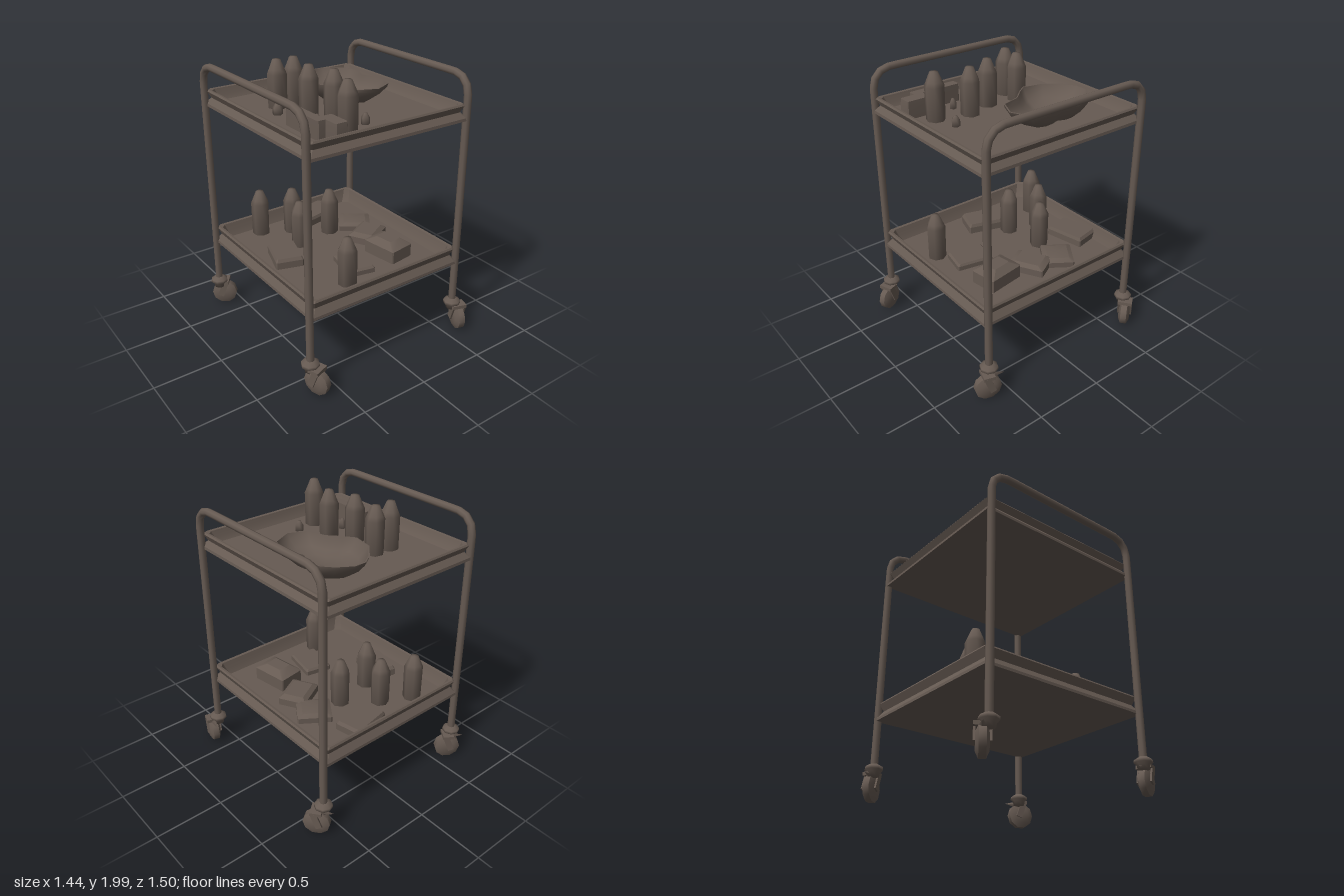
import * as THREE from 'three';
import { toCreasedNormals } from 'three/addons/utils/BufferGeometryUtils.js';

const paint = new THREE.MeshStandardMaterial({ color: 0x665a52 });
paint.name = 'dull brown metal';

function add(parent, name, geometry, x = 0, y = 0, z = 0) {
  const mesh = new THREE.Mesh(geometry, paint);
  mesh.name = name;
  mesh.position.set(x, y, z);
  parent.add(mesh);
  return mesh;
}

// Skin a stack of equal-length rings (counterclockwise from above), capping both ends.
function loft(rings, crease = 0.6) {
  const n = rings[0].length, pos = [], index = [];
  rings.forEach(r => r.forEach(p => pos.push(...p)));
  for (let j = 0; j < rings.length - 1; j++) {
    for (let i = 0; i < n; i++) {
      const a = j * n + i, b = j * n + (i + 1) % n;
      index.push(a, b, b + n, a, b + n, a + n);
    }
  }
  [rings[0], rings[rings.length - 1]].forEach((ring, end) => {
    const c = pos.length / 3, start = end ? (rings.length - 1) * n : 0;
    pos.push(...[0, 1, 2].map(k => ring.reduce((s, p) => s + p[k], 0) / n));
    for (let i = 0; i < n; i++) {
      const a = start + i, b = start + (i + 1) % n;
      if (end) index.push(c, a, b); else index.push(c, b, a);
    }
  });
  const g = new THREE.BufferGeometry();
  g.setAttribute('position', new THREE.Float32BufferAttribute(pos, 3));
  g.setIndex(index);
  return toCreasedNormals(g, crease);
}

// Rectangle ring with chamfered corners.
function rect(hx, hz, c, y) {
  return [
    [hx, y, hz - c], [hx, y, c - hz], [hx - c, y, -hz], [c - hx, y, -hz],
    [-hx, y, c - hz], [-hx, y, hz - c], [c - hx, y, hz], [hx - c, y, hz],
  ];
}

// Tray: wide foot, pinched wall, rolled rim, sunken floor.
function tray(h) {
  const profile = [
    [0, 0, 0.012], [0.02, 0.002, 0.012], [h * 0.5, 0.034, 0.015], [h * 0.9, 0.01, 0.02], [h, 0.018, 0.025],
    [h * 0.97, 0.036, 0.03], [h * 0.55, 0.052, 0.035], [0.035, 0.07, 0.04],
  ];
  return loft(profile.map(([y, inset, c]) => rect(0.625 - inset, 0.66 - inset, c, y)), 0.5);
}

// Flat pack with a slightly narrower top.
function pack(w, h, d, taper = 0.85) {
  return loft([rect(w / 2, d / 2, 0.008, 0), rect(w / 2, d / 2, 0.008, h * 0.7),
    rect(w / 2 * taper, d / 2 * taper, 0.008, h)], 0.4);
}

function lathe(points, sides) {
  return new THREE.LatheGeometry(points.map(p => new THREE.Vector2(...p)), sides);
}

// Hoop: two posts joined by a rail with rounded corners.
function hoop() {
  const v = (y, z) => new THREE.Vector3(0, y, z);
  const front = 0.62, back = -0.657, top = 1.935, r = 0.15, low = 0.2;
  const path = new THREE.CurvePath();
  path.add(new THREE.LineCurve3(v(low, front), v(top - r, front)));
  path.add(new THREE.QuadraticBezierCurve3(v(top - r, front), v(top, front), v(top, front - r)));
  path.add(new THREE.LineCurve3(v(top, front - r), v(top, back + r)));
  path.add(new THREE.QuadraticBezierCurve3(v(top, back + r), v(top, back), v(top - r, back)));
  path.add(new THREE.LineCurve3(v(top - r, back), v(low, back)));
  return new THREE.TubeGeometry(path, 72, 0.027, 8);
}

// Swivel caster whose wheel rolls along its local z.
function caster(x, z, yaw, dx, dz) {
  const g = new THREE.Group();
  g.name = 'caster';
  g.position.set(x, 0, z);
  add(g, 'collar', lathe([[0, 0.16], [0.04, 0.17], [0.045, 0.2], [0.064, 0.215], [0.062, 0.235], [0.03, 0.255], [0, 0.255]], 8));
  const swivel = new THREE.Group();
  swivel.name = 'swivel';
  swivel.position.set(dx, 0, dz);
  swivel.rotation.y = yaw;
  g.add(swivel);
  const tyre = lathe([[0, -0.04], [0.055, -0.04], [0.094, -0.022], [0.094, 0.022], [0.055, 0.04], [0, 0.04]], 10);
  add(swivel, 'wheel', toCreasedNormals(tyre, 0.7), 0, 0.1, 0).rotation.z = Math.PI / 2;
  for (const s of [-1, 1]) {
    add(swivel, 'forkArm', new THREE.BoxGeometry(0.014, 0.12, 0.045), s * 0.046, 0.14, -0.005).rotation.x = 0.35;
  }
  add(swivel, 'forkBridge', new THREE.BoxGeometry(0.105, 0.025, 0.08), 0, 0.197, 0);
  add(swivel, 'brakeLever', new THREE.ConeGeometry(0.025, 0.09, 4), 0, 0.185, -0.075).rotation.x = -Math.PI / 2;
  return g;
}

// Kidney-shaped bowl lofted out and back in.
function kidneyBowl() {
  const outline = [
    [-0.07, -0.2], [-0.04, -0.35], [0.06, -0.46], [0.14, -0.515], [0.23, -0.515], [0.33, -0.45],
    [0.39, -0.38], [0.397, -0.29], [0.36, -0.19], [0.39, -0.1], [0.4, 0], [0.37, 0.09],
    [0.23, 0.157], [0.1, 0.1], [0.06, -0.04], [-0.02, -0.13],
  ].reverse();
  const cx = 0.19, cz = -0.2;
  const ring = (s, y) => outline.map(([x, z]) => [cx + (x - cx) * s, y, cz + (z - cz) * s]);
  return loft([ring(0.6, 1.67), ring(0.82, 1.72), ring(0.97, 1.775), ring(1, 1.8), ring(0.965, 1.8),
    ring(0.9, 1.765), ring(0.76, 1.72), ring(0.5, 1.69)], 0.9);
}

export function createModel() {
  const cart = new THREE.Group();
  cart.name = 'trolley';

  // Frame and trays
  add(cart, 'leftHoop', hoop(), 0.6);
  add(cart, 'rightHoop', hoop(), -0.66);
  add(cart, 'upperTray', tray(0.115), -0.03, 1.637, -0.02);
  add(cart, 'lowerTray', tray(0.133), -0.03, 0.557, -0.02);

  // Casters, each swivelled differently
  cart.add(caster(0.6, 0.62, -0.3, 0.03, 0.035));
  cart.add(caster(-0.66, 0.62, 0.35, 0.025, 0.045));
  cart.add(caster(0.6, -0.657, 0.65, 0.045, 0.015));
  cart.add(caster(-0.66, -0.657, 0.95, 0.045, -0.01));

  // Bottles
  const bottle = lathe([[0, 0], [0.066, 0], [0.068, 0.25], [0.055, 0.28], [0.028, 0.345], [0, 0.347]], 7);
  const upper = 1.655, lower = 0.6;
  [[-0.32, upper, -0.245], [-0.19, upper, -0.24], [-0.22, upper, -0.01], [-0.155, upper, 0.18], [-0.22, upper, 0.415],
    [-0.24, lower, 0.45], [-0.34, lower, -0.525], [-0.125, lower, -0.415], [-0.2, lower, -0.19], [0.095, lower, -0.24],
  ].forEach(([x, y, z], i) => { add(cart, 'bottle', bottle, x, y, z).rotation.y = i * 0.7; });

  // Small vials
  for (const [x, z, s] of [[-0.4, -0.115, 0.036], [-0.31, 0.215, 0.024], [-0.05, 0.375, 0.03]]) {
    add(cart, 'vial', lathe([[0, 0], [s, 0], [s, 0.05], [s * 0.4, 0.08], [0, 0.08]], 5), x, 1.665, z);
  }

  // Upper tray goods
  add(cart, 'kidneyBowl', kidneyBowl());
  add(cart, 'longBox', pack(0.066, 0.13, 0.365, 0.98), -0.437, 1.667, 0.277);
  add(cart, 'shortBox', pack(0.095, 0.13, 0.18, 0.95), -0.367, 1.667, 0.475);

  // Lower tray packs: x, z, width, height, depth, turn, taper
  [
    [-0.4, -0.08, 0.2, 0.075, 0.27, -0.3, 0.9],
    [-0.06, 0.285, 0.2, 0.05, 0.27, -0.2, 0.9],
    [0.25, 0.28, 0.2, 0.135, 0.28, 0.15, 0.5],
    [0.15, -0.52, 0.3, 0.07, 0.2, 0.2, 0.9],
    [0.28, 0, 0.26, 0.075, 0.2, 0.5, 0.7],
    [0.32, -0.22, 0.24, 0.06, 0.22, -0.6, 0.7],
  ].forEach(([x, z, w, h, d, turn, taper]) => {
    add(cart, 'pack', pack(w, h, d, taper), x, 0.59, z).rotation.y = turn;
  });

  return cart;
}
